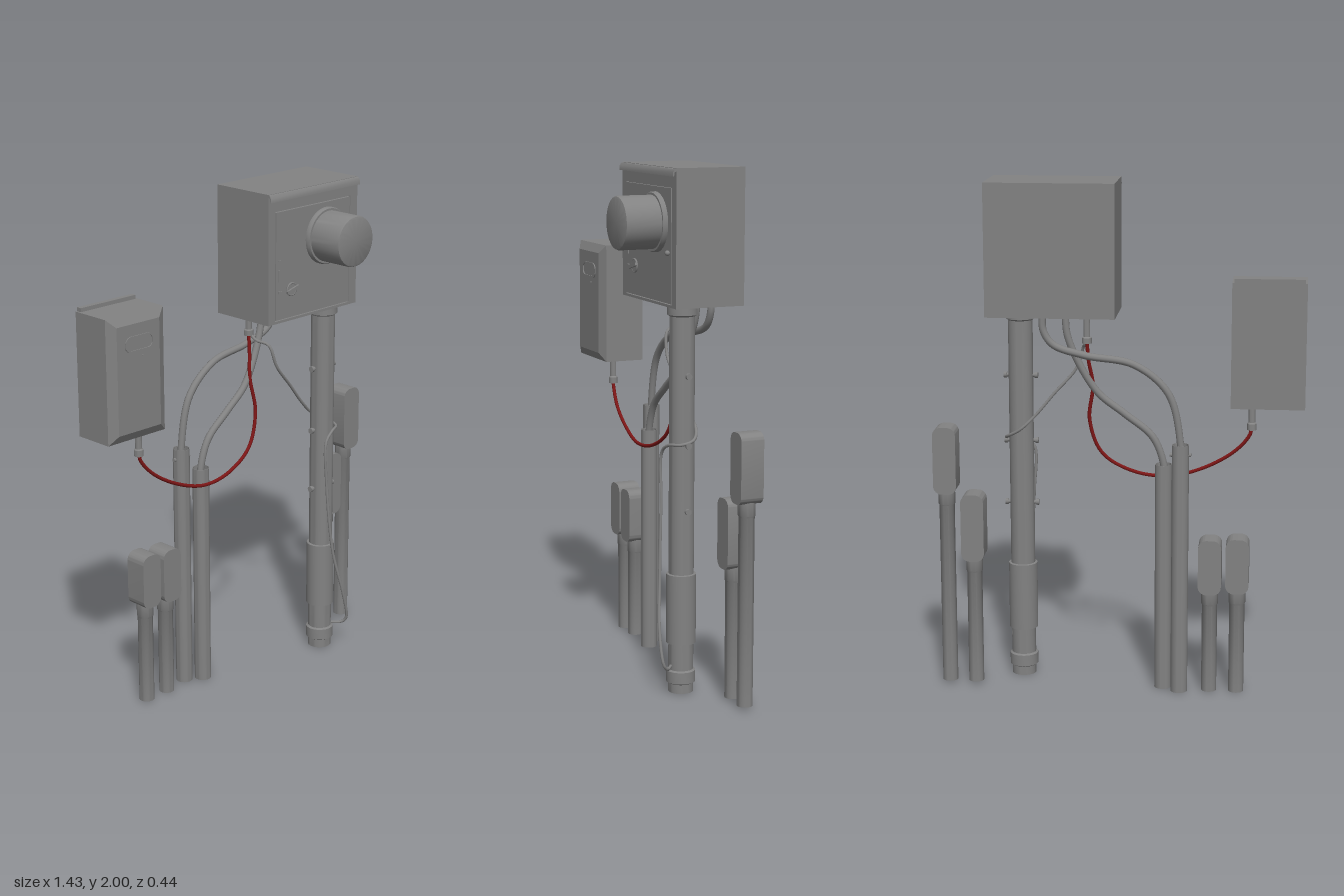
import * as THREE from 'three';
import { toCreasedNormals } from 'three/addons/utils/BufferGeometryUtils.js';

const grey = new THREE.MeshStandardMaterial({ color: 0x828282 });
const greyDouble = new THREE.MeshStandardMaterial({ color: 0x828282, side: THREE.DoubleSide });
const red = new THREE.MeshStandardMaterial({ color: 0x7c1616 });

function add(parent, name, geometry, x = 0, y = 0, z = 0, material = grey) {
  const mesh = new THREE.Mesh(geometry, material);
  mesh.name = name;
  mesh.position.set(x, y, z);
  parent.add(mesh);
  return mesh;
}

function group(parent, name) {
  const g = new THREE.Group();
  g.name = name;
  parent.add(g);
  return g;
}

// Box given by its minimum and maximum corners
function block(parent, name, [x0, y0, z0], [x1, y1, z1]) {
  return add(parent, name, new THREE.BoxGeometry(x1 - x0, y1 - y0, z1 - z0),
    (x0 + x1) / 2, (y0 + y1) / 2, (z0 + z1) / 2);
}

// Upright turned part from [radius, height] pairs, with crisp steps
function turned(parent, name, profile, x, y, z, sides = 32) {
  const points = profile.map(([r, h]) => new THREE.Vector2(r, h));
  const geometry = toCreasedNormals(new THREE.LatheGeometry(points, sides), 0.6);
  return add(parent, name, geometry, x, y, z, greyDouble);
}

// Cable swept along a smooth curve
function cable(parent, name, points, radius, material = grey) {
  const curve = new THREE.CatmullRomCurve3(points.map(p => new THREE.Vector3(...p)), false, 'centripetal');
  return add(parent, name, new THREE.TubeGeometry(curve, 90, radius, 10), 0, 0, 0, material);
}

function roundedRect(w, h, r) {
  const s = new THREE.Shape(), x = w / 2 - r, y = h / 2 - r;
  s.absarc(x, y, r, 0, Math.PI / 2);
  s.absarc(-x, y, r, Math.PI / 2, Math.PI);
  s.absarc(-x, -y, r, Math.PI, Math.PI * 1.5);
  s.absarc(x, -y, r, Math.PI * 1.5, Math.PI * 2);
  s.closePath();
  return s;
}

function slab(shape, depth) {
  const geometry = new THREE.ExtrudeGeometry(shape, { depth, bevelEnabled: false, curveSegments: 8 });
  return toCreasedNormals(geometry, 0.6);
}

function meterCabinet(root) {
  const g = group(root, 'meterCabinet');
  block(g, 'cabinetBody', [0.003, 1.49, -0.221], [0.499, 2, 0.045]);

  // Front frame around the door, leaving a thin gap
  block(g, 'frameTop', [0.003, 1.93, 0.045], [0.499, 2, 0.055]);
  block(g, 'frameBottom', [0.003, 1.49, 0.045], [0.499, 1.5, 0.055]);
  block(g, 'frameRight', [0.003, 1.5, 0.045], [0.04, 1.93, 0.055]);
  block(g, 'frameLeft', [0.459, 1.5, 0.045], [0.499, 1.93, 0.055]);
  block(g, 'cabinetDoor', [0.044, 1.504, 0.045], [0.455, 1.926, 0.056]);

  // Rain lip along the top front edge
  const lip = new THREE.Shape([[0.05, 2], [0.06, 1.997], [0.068, 1.986], [0.069, 1.97], [0.065, 1.97], [0.062, 1.985], [0.05, 1.992]]
    .map(([z, y]) => new THREE.Vector2(-z, y)));
  add(g, 'rainLip', slab(lip, 0.496), 0.003).rotation.y = Math.PI / 2;

  // Meter drum with its flange and bezel
  const drum = turned(g, 'meterDrum', [[0, 0], [0.112, 0], [0.112, 0.012], [0.108, 0.018], [0.1, 0.018],
    [0.1, 0.15], [0.097, 0.157], [0.09, 0.16], [0, 0.16]], 0.318, 1.795, 0.056, 48);
  drum.rotation.x = Math.PI / 2;

  // Latch and small fittings on the door
  const latch = group(g, 'doorLatch');
  latch.position.set(0.127, 1.615, 0.056);
  add(latch, 'latchRing', new THREE.TorusGeometry(0.024, 0.004, 8, 24), 0, 0, 0.003);
  add(latch, 'latchPlate', new THREE.CylinderGeometry(0.022, 0.022, 0.006, 24), 0, 0, 0.003).rotation.x = Math.PI / 2;
  add(latch, 'latchHandle', new THREE.BoxGeometry(0.066, 0.012, 0.008), 0, 0, 0.01).rotation.z = 0.25;
  block(g, 'doorClip', [0.053, 1.735, 0.055], [0.071, 1.74, 0.06]);
  block(g, 'doorSlot', [0.053, 1.655, 0.055], [0.067, 1.7, 0.06]);
  block(g, 'lockTab', [0.055, 1.608, 0.055], [0.072, 1.617, 0.06]);
  add(g, 'doorBolt', new THREE.SphereGeometry(0.01, 12, 8), 0.441, 1.69, 0.064);
}

function smallCabinet(root) {
  const g = group(root, 'smallCabinet');
  block(g, 'smallCabinetBody', [-0.718, 1.155, -0.221], [-0.437, 1.637, -0.058]);

  // Front cover tapering to a smaller face
  const cover = new THREE.BoxGeometry(0.281, 0.482, 0.02).toNonIndexed();
  const p = cover.attributes.position;
  for (let i = 0; i < p.count; i++) {
    if (p.getZ(i) > 0) p.setXY(i, p.getX(i) * 0.74, p.getY(i) * 0.86);
  }
  cover.computeVertexNormals();
  add(g, 'taperedCover', cover, -0.5775, 1.396, -0.048);
  block(g, 'backLip', [-0.71, 1.63, -0.221], [-0.445, 1.652, -0.2]);

  // Oval window frame
  const frame = roundedRect(0.14, 0.062, 0.03);
  frame.holes.push(roundedRect(0.126, 0.048, 0.023));
  add(g, 'ovalWindowFrame', slab(frame, 0.006), -0.573, 1.527, -0.04);
  block(g, 'statusButton', [-0.562, 1.474, -0.04], [-0.552, 1.48, -0.035]);
}

function mainPost(root) {
  const g = group(root, 'mainPost');
  turned(g, 'postTube', [[0.043, 0.04], [0.043, 0], [0.048, 0], [0.048, 0.035], [0.056, 0.04], [0.056, 0.085], [0.048, 0.09],
    [0.048, 0.195], [0.057, 0.195], [0.057, 0.465], [0.048, 0.467], [0.048, 1.45], [0.057, 1.456],
    [0.057, 1.492], [0, 1.492]], 0.391, 0, -0.02);

  // Clamp bolts on both sides of the post
  for (const y of [0.715, 0.968, 1.23]) {
    for (const side of [-1, 1]) {
      const x = 0.391 + side * 0.053;
      add(g, 'clampBolt', new THREE.CylinderGeometry(0.008, 0.008, 0.022, 10), x, y, -0.02).rotation.z = Math.PI / 2;
      add(g, 'clampNut', new THREE.CylinderGeometry(0.012, 0.012, 0.012, 10), x + side * 0.008, y, -0.02).rotation.z = Math.PI / 2;
    }
  }
}

function conduits(root) {
  const g = group(root, 'conduits');
  for (const [x, z, height] of [[-0.246, -0.176, 1], [-0.179, -0.137, 0.912]]) {
    // Pipe open at both ends
    turned(g, 'conduitPipe', [[0.031, 0], [0.033, 0], [0.033, height], [0.031, height], [0.031, 0]], x, 0, z);
  }
  for (const side of [-1, 1]) {
    add(g, 'conduitBolt', new THREE.CylinderGeometry(0.008, 0.008, 0.014, 8), -0.246 + side * 0.034, 0.96, -0.176)
      .rotation.z = Math.PI / 2;
  }
  // Heavy supply cables rising into the cabinet
  cable(g, 'rearSupplyCable', [[-0.246, 0.9, -0.176], [-0.246, 1, -0.176], [-0.198, 1.2, -0.178], [-0.068, 1.31, -0.182],
    [0.122, 1.345, -0.188], [0.242, 1.385, -0.19], [0.279, 1.44, -0.19], [0.282, 1.5, -0.19]], 0.014);
  cable(g, 'frontSupplyCable', [[-0.179, 0.82, -0.137], [-0.179, 0.91, -0.137], [-0.136, 1.02, -0.139], [-0.028, 1.11, -0.142],
    [0.072, 1.19, -0.147], [0.147, 1.31, -0.16], [0.189, 1.42, -0.17], [0.197, 1.5, -0.17]], 0.014);
}

function wiring(root) {
  const g = group(root, 'wiring');
  // Cable glands beneath the two cabinets
  turned(g, 'mainGland', [[0, 0], [0.019, 0], [0.019, 0.022], [0.013, 0.026], [0.013, 0.11], [0, 0.11]],
    0.115, 1.388, -0.165, 16);
  turned(g, 'smallGland', [[0, 0], [0.018, 0], [0.018, 0.025], [0.013, 0.03], [0.013, 0.11], [0, 0.11]],
    -0.516, 1.052, -0.12, 16);
  cable(g, 'redCable', [[0.115, 1.4, -0.165], [0.11, 1.32, -0.155], [0.095, 1.22, -0.138], [0.11, 1.08, -0.122],
    [0.062, 0.945, -0.11], [-0.058, 0.872, -0.1], [-0.198, 0.855, -0.095], [-0.333, 0.893, -0.103],
    [-0.453, 0.965, -0.112], [-0.508, 1.03, -0.12], [-0.516, 1.06, -0.12]], 0.007, red);
  // Thin wire passing behind the post, round it and down to the base
  cable(g, 'groundWire', [[0.117, 1.4, -0.165], [0.122, 1.372, -0.13], [0.137, 1.36, -0.075], [0.167, 1.27, -0.06],
    [0.253, 1.17, -0.068], [0.333, 1.075, -0.075], [0.392, 1.02, -0.078], [0.448, 0.985, -0.04], [0.444, 0.972, 0.01],
    [0.392, 0.965, 0.036], [0.35, 0.93, 0.044], [0.352, 0.75, 0.047], [0.377, 0.45, 0.063], [0.423, 0.25, 0.083],
    [0.451, 0.13, 0.078], [0.443, 0.108, 0.06], [0.408, 0.108, 0.03]], 0.006);
}

// Short post, open at the bottom, carrying a rounded pedestal head
function markerPost(root, x, bottom, headBottom, top) {
  const g = group(root, 'markerPost');
  g.position.set(x, 0, -0.155);
  turned(g, 'markerTube', [[0.027, headBottom], [0.027, bottom], [0.03, bottom], [0.03, headBottom - 0.05],
    [0.033, headBottom - 0.045], [0.033, headBottom + 0.01], [0, headBottom + 0.01]], 0, 0, 0, 24);
  add(g, 'markerHead', slab(roundedRect(0.09, top - headBottom, 0.033), 0.092), 0, (top + headBottom) / 2, -0.046);
}

export function createModel() {
  const root = new THREE.Group();
  root.name = 'utilityMeterStation';
  meterCabinet(root);
  smallCabinet(root);
  mainPost(root);
  conduits(root);
  wiring(root);
  markerPost(root, -0.47, 0, 0.412, 0.632);
  markerPost(root, -0.363, 0, 0.405, 0.625);
  markerPost(root, 0.565, 0.01, 0.515, 0.785);
  markerPost(root, 0.67, 0.01, 0.785, 1.052);
  return root;
}
